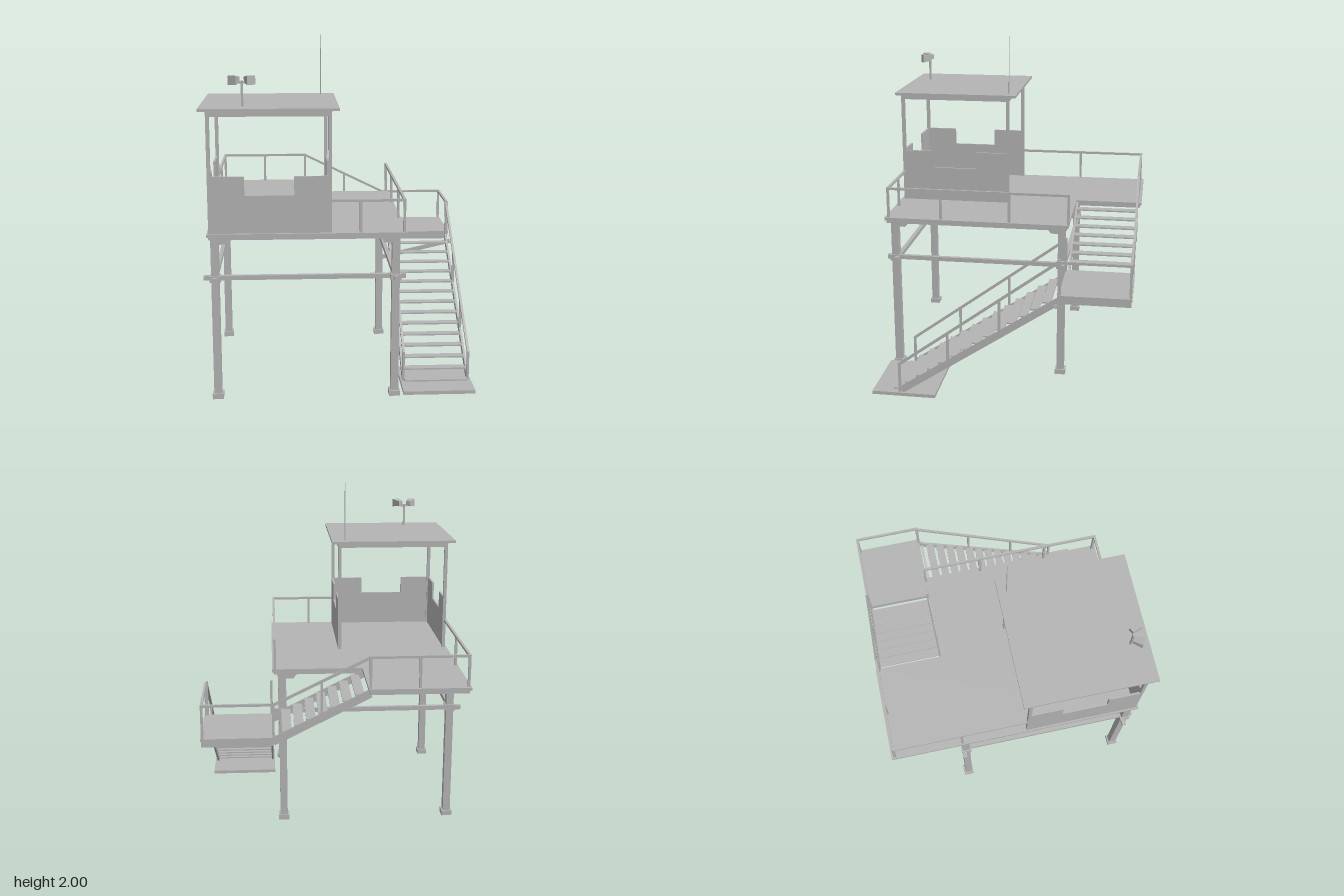
import * as THREE from 'three';

const steel = new THREE.MeshStandardMaterial({ color: 0xb4b4b4 });
steel.name = 'painted grey steel';

export function createModel() {
  const root = new THREE.Group();
  root.name = 'observationTower';

  const add = (name, geometry, parent = root) => {
    const mesh = new THREE.Mesh(geometry, steel);
    mesh.name = name;
    parent.add(mesh);
    return mesh;
  };
  const group = (name) => {
    const g = new THREE.Group();
    g.name = name;
    root.add(g);
    return g;
  };
  // Box given by its limits on each axis
  const box = (name, [x0, x1], [y0, y1], [z0, z1], parent) => {
    const mesh = add(name, new THREE.BoxGeometry(x1 - x0, y1 - y0, z1 - z0), parent);
    mesh.position.set((x0 + x1) / 2, (y0 + y1) / 2, (z0 + z1) / 2);
    return mesh;
  };
  // Straight rectangular bar between two points
  const bar = (name, a, b, w, h, parent) => {
    const p = new THREE.Vector3(...a), q = new THREE.Vector3(...b);
    const mesh = add(name, new THREE.BoxGeometry(w, h, p.distanceTo(q)), parent);
    mesh.position.copy(p).lerp(q, 0.5);
    mesh.lookAt(q);
    return mesh;
  };
  const post = (x, z, y0, y1, parent, w = 0.014) =>
    box('railPost', [x - w / 2, x + w / 2], [y0, y1], [z - w / 2, z + w / 2], parent);
  const outline = (points) => new THREE.Shape(points.map((p) => new THREE.Vector2(...p)));
  const extrude = (points, depth) =>
    new THREE.ExtrudeGeometry(outline(points), { depth, bevelEnabled: false });

  // Main deck: L-shaped slab with a slightly smaller frame below
  const deck = group('deck');
  const slab = (name, e, y, depth) => {
    const pts = [[-0.735 - e, -0.74 - e], [0.345 + e, -0.74 - e], [0.345 + e, 0.342 + e],
      [-0.185 + e, 0.342 + e], [-0.185 + e, 0.75 + e], [-0.735 - e, 0.75 + e]];
    const g = extrude(pts, depth);
    g.rotateX(-Math.PI / 2);
    add(name, g, deck).position.y = y;
  };
  slab('deckPlate', 0.01, 0.948, 0.017);
  slab('deckFrame', 0, 0.93, 0.018);

  // Legs with feet and small gussets under the deck
  const legs = group('legs');
  const legX = [-0.705, 0.295], legZ = [-0.31, 0.70];
  for (const x of legX) for (const z of legZ) {
    box('leg', [x - 0.022, x + 0.022], [0, 0.93], [z - 0.022, z + 0.022], legs);
    box('foot', [x - 0.031, x + 0.031], [0, 0.03], [z - 0.031, z + 0.031], legs);
    box('beamClamp', [x - 0.03, x + 0.03], [0.685, 0.72], [z - 0.03, z + 0.03], legs);
    const sx = x < 0 ? 1 : -1, sz = z < 0 ? 1 : -1;
    const profile = [[0, 0], [0.065, 0], [0.045, -0.03], [0, -0.03]];
    const gx = add('gusset', extrude(profile, 0.04), legs);
    gx.position.set(x + sx * 0.02, 0.93, z + (sx > 0 ? -0.02 : 0.02));
    gx.rotation.y = sx > 0 ? 0 : Math.PI;
    const gz = add('gusset', extrude(profile, 0.04), legs);
    gz.position.set(x + (sz > 0 ? 0.02 : -0.02), 0.93, z + sz * 0.02);
    gz.rotation.y = sz > 0 ? -Math.PI / 2 : Math.PI / 2;
    gz.position.x = x + (sz > 0 ? 0.02 : -0.02);
  }

  // Horizontal bracing beams
  for (const z of legZ) box('crossBeam', [-0.77, 0.355], [0.69, 0.715], [z - 0.026, z - 0.002], legs);
  for (const x of legX) box('sideBeam', [x - 0.012, x + 0.012], [0.69, 0.715], [-0.34, 0.75], legs);

  // Cab: three notched walls, open at the back
  const cab = group('cab');
  const wallPoints = [[0, 0], [0.675, 0], [0.675, 0.315], [0.47, 0.315], [0.47, 0.21],
    [0.2, 0.21], [0.2, 0.315], [0, 0.315]];
  const wall = (name, x, z, turn) => {
    const m = add(name, extrude(wallPoints, 0.012), cab);
    m.position.set(x, 0.965, z);
    m.rotation.y = turn;
  };
  wall('frontWall', -0.735, 0.723, 0);
  wall('rightWall', -0.072, 0.735, Math.PI / 2);
  wall('leftWall', -0.735, 0.735, Math.PI / 2);

  // Cab posts, top frame and roof
  for (const x of [-0.725, -0.07]) {
    for (const z of [0.07, 0.725]) post(x, z, 0.965, 1.61, cab, 0.02);
    box('roofSideBeam', [x - 0.01, x + 0.01], [1.605, 1.635], [0.06, 0.735], cab);
  }
  for (const z of [0.07, 0.725]) box('roofCrossBeam', [-0.735, -0.06], [1.605, 1.635], [z - 0.01, z + 0.01], cab);
  box('roof', [-0.775, -0.02], [1.635, 1.65], [0.015, 0.762], cab);

  // Antenna
  const antenna = add('antenna', new THREE.CylinderGeometry(0.0015, 0.003, 0.35, 8), cab);
  antenna.position.set(-0.1, 1.825, 0.065);

  // Twin horns on a short mast
  const horns = group('horns');
  box('hornMast', [-0.546, -0.534], [1.65, 1.79], [0.654, 0.666], horns);
  box('hornBracket', [-0.57, -0.51], [1.775, 1.787], [0.654, 0.666], horns);
  for (const s of [-1, 1]) {
    const g = new THREE.CylinderGeometry(0.035, 0.021, 0.058, 4, 1).toNonIndexed();
    g.rotateY(Math.PI / 4);
    g.rotateX(Math.PI / 2);
    g.computeVertexNormals();
    const horn = add('horn', g, horns);
    horn.position.set(-0.54 + s * 0.038, 1.795, 0.674);
    horn.rotation.y = s * 0.5;
  }

  // Deck railing
  const rails = group('deckRailing');
  const railTop = 1.142;
  const run = (points) => {
    for (let i = 1; i < points.length; i++) bar('topRail', points[i - 1], points[i], 0.014, 0.014, rails);
  };
  run([[-0.06, railTop, 0.728], [0.338, railTop, 0.728], [0.338, railTop, -0.35]]);
  run([[-0.73, railTop, 0.06], [-0.73, railTop, -0.738], [-0.185, railTop, -0.738]]);
  for (const [x, z] of [[0.098, 0.728], [0.338, 0.728], [0.338, 0.41], [0.338, 0], [0.338, -0.35],
    [-0.73, -0.33], [-0.73, -0.738], [-0.46, -0.738], [-0.185, -0.738]]) post(x, z, 0.96, railTop + 0.007, rails);

  // Landing with its railing and the brace below
  const landing = group('landing');
  box('landingPlate', [0.345, 0.757], [0.675, 0.69], [-0.745, -0.34], landing);
  for (const z of [-0.74, -0.355]) box('landingEdge', [0.35, 0.752], [0.64, 0.675], [z, z + 0.012], landing);
  for (const x of [0.35, 0.74]) box('landingEdge', [x, x + 0.012], [0.64, 0.675], [-0.74, -0.343], landing);
  bar('landingRail', [0.345, 0.88, -0.735], [0.752, 0.88, -0.735], 0.014, 0.014, landing);
  bar('landingRail', [0.745, 0.88, -0.735], [0.745, 0.88, -0.338], 0.014, 0.014, landing);
  for (const [x, z] of [[0.352, -0.735], [0.745, -0.735], [0.745, -0.345]]) post(x, z, 0.68, 0.887, landing);
  bar('landingBrace', [0.3, 0.52, -0.325], [0.765, 0.628, -0.325], 0.014, 0.026, landing);

  // Upper flight from the landing to the deck
  const upper = group('upperFlight');
  for (const z of [-0.735, -0.358]) bar('stringer', [0.355, 0.665, z], [-0.185, 0.935, z], 0.012, 0.045, upper);
  for (let i = 0; i < 7; i++) {
    const x = 0.278 - i * 0.0675, y = 0.722 + i * 0.0345;
    box('tread', [x - 0.027, x + 0.027], [y - 0.008, y], [-0.73, -0.363], upper);
  }
  bar('handrail', [0.35, 0.88, -0.738], [-0.185, railTop, -0.738], 0.014, 0.014, upper);
  post(0.085, -0.738, 0.8, 1.008, upper);

  // Lower flight from the ground pad to the landing
  const lower = group('lowerFlight');
  box('groundPad', [0.345, 0.757], [0.01, 0.03], [0.372, 0.745], lower);
  for (let i = 0; i < 14; i++) {
    const z = -0.272 + i * 0.0668, y = 0.637 - i * 0.0455;
    box('tread', [0.368, 0.73], [y - 0.008, y], [z - 0.025, z + 0.025], lower);
  }
  for (const x of [0.361, 0.738]) {
    bar('stringer', [x, 0.655, -0.345], [x, 0.04, 0.575], 0.012, 0.04, lower);
    bar('handrail', [x, 0.885, -0.345], [x, 0.2, 0.587], 0.014, 0.014, lower);
    for (const [z, y0, y1] of [[0.583, 0.03, 0.203], [0.295, 0.23, 0.415], [-0.005, 0.43, 0.635], [-0.342, 0.64, 0.895]])
      post(x, z, y0, y1, lower);
  }
  return root;
}
